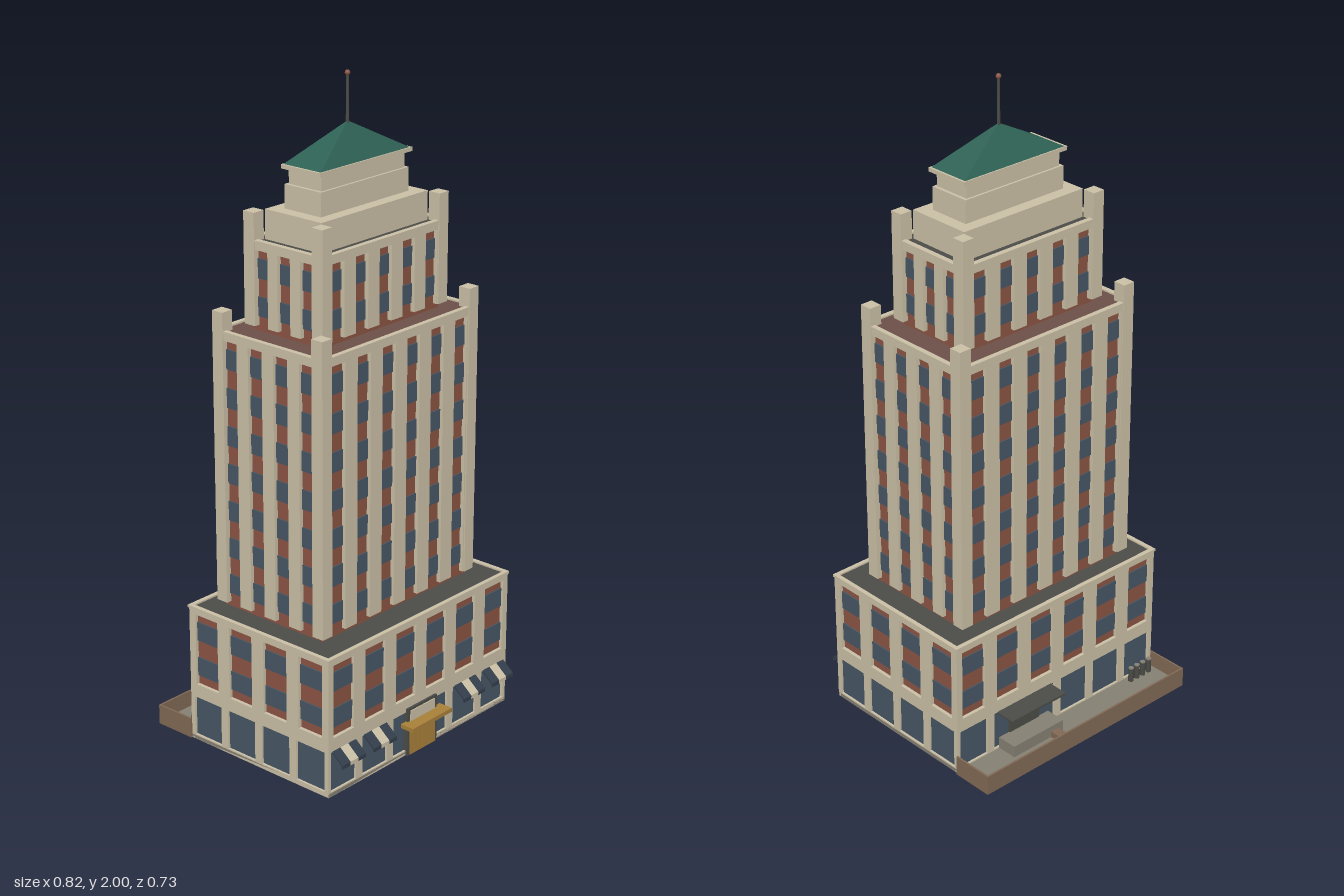
import * as THREE from 'three';

const mat = (name, color) => {
  const m = new THREE.MeshStandardMaterial({ color });
  m.name = name;
  return m;
};

export function createModel() {
  const stone = mat('cream stone', 0xcabfa6);
  const brick = mat('red brick', 0x8a5443);
  const brickRoof = mat('brick terrace', 0x6b5048);
  const glass = mat('blue glass', 0x465664);
  const dark = mat('dark roofing', 0x4b4b47);
  const green = mat('green copper', 0x2e6154);
  const gold = mat('gold', 0xa88039);
  const concrete = mat('concrete', 0x857f73);
  const brown = mat('brown wall', 0x806854);
  const navy = mat('navy cloth', 0x333d4b);

  const model = new THREE.Group();
  model.name = 'tower';

  const add = (parent, name, geo, m, x = 0, y = 0, z = 0) => {
    const mesh = new THREE.Mesh(geo, m);
    mesh.name = name;
    mesh.position.set(x, y, z);
    parent.add(mesh);
    return mesh;
  };
  // box placed by its centre in x and z, and by its bottom and top in y
  const box = (parent, name, m, w, d, y0, y1, x = 0, z = 0) =>
    add(parent, name, new THREE.BoxGeometry(w, y1 - y0, d), m, x, (y0 + y1) / 2, z);
  const group = (parent, name, x = 0, y = 0, z = 0) => {
    const g = new THREE.Group();
    g.name = name;
    g.position.set(x, y, z);
    parent.add(g);
    return g;
  };

  // upright stone strips filling the space between the bays of one wall
  const pilasters = (wall, half, face, depth, bays, pitch, width, y0, y1) => {
    for (let i = 0; i <= bays; i++) {
      const a = i === 0 ? -half : (i - 1 - (bays - 1) / 2) * pitch + width / 2;
      const b = i === bays ? half : (i - (bays - 1) / 2) * pitch - width / 2;
      box(wall, 'pilaster', stone, b - a, depth, y0, y1, (a + b) / 2, face - depth / 2);
    }
  };

  // calls build(wall, halfWidth, faceDistance, isLongSide) for the four sides
  const fourWalls = (parent, hx, hz, build) => {
    for (let k = 0; k < 4; k++) {
      const wall = group(parent, 'wall');
      wall.rotation.y = k * Math.PI / 2;
      if (k % 2) build(wall, hz, hx, false);
      else build(wall, hx, hz, true);
    }
  };

  // brick storeys with a window grid, stone pilasters and a parapet
  const tier = (name, o) => {
    const g = group(model, name, 0, 0, o.z);
    const t = o.relief;
    box(g, 'brickCore', brick, 2 * (o.hx - t), 2 * (o.hz - t), o.y0, o.y1 - 0.012);
    box(g, 'roofDeck', o.roof, 2 * (o.hx - t), 2 * (o.hz - t), o.y1 - 0.012, o.y1 - 0.005);
    fourWalls(g, o.hx, o.hz, (wall, half, face, long) => {
      const [bays, pitch, width] = long ? o.long : o.short;
      pilasters(wall, half, face, t, bays, pitch, width, o.brick0, o.brick1);
      box(wall, 'parapet', stone, 2 * half, t, o.brick1, o.y1, 0, face - t / 2);
      box(wall, 'coping', stone, 2 * half + 0.006, t + 0.003, o.y1 - 0.008, o.y1, 0, face + 0.003 - (t + 0.003) / 2);
      const storey = (o.brick1 - o.brick0) / o.floors;
      for (let i = 0; i < bays; i++) {
        for (let f = 0; f < o.floors; f++) {
          const y = o.brick0 + (f + 0.5) * storey;
          box(wall, 'window', glass, width, 0.004, y - storey * 0.26, y + storey * 0.26,
            (i - (bays - 1) / 2) * pitch, face - t + 0.002);
        }
      }
    });
    // raised corner piers
    if (o.pier) {
      for (const sx of [-1, 1]) for (const sz of [-1, 1]) {
        box(g, 'cornerPier', stone, 0.04, 0.04, o.brick0, o.pier,
          sx * (o.hx - 0.016), sz * (o.hz - 0.016));
      }
    }
    return g;
  };

  const base = tier('base', {
    z: 0.043, hx: 0.405, hz: 0.275, relief: 0.011, y0: 0.012, y1: 0.437, brick0: 0.185, brick1: 0.413,
    floors: 2, long: [6, 0.136, 0.088], short: [4, 0.137, 0.09], roof: dark,
  });
  tier('mainShaft', {
    z: 0.027, hx: 0.333, hz: 0.205, relief: 0.013, y0: 0.43, y1: 1.285, brick0: 0.447, brick1: 1.257,
    floors: 7, long: [6, 0.106, 0.055], short: [4, 0.097, 0.053], roof: brickRoof, pier: 1.34,
  });
  tier('upperShaft', {
    z: 0.027, hx: 0.264, hz: 0.144, relief: 0.014, y0: 1.275, y1: 1.548, brick0: 1.297, brick1: 1.52,
    floors: 2, long: [5, 0.1, 0.052], short: [3, 0.085, 0.047], roof: dark, pier: 1.627,
  });

  // ground floor with shop windows
  box(base, 'plinth', concrete, 0.81, 0.55, 0, 0.012);
  fourWalls(base, 0.405, 0.275, (wall, half, face, long) => {
    pilasters(wall, half, face, 0.011, long ? 6 : 4, 0.1365, 0.109, 0.012, 0.142);
    box(wall, 'shopGlass', glass, 2 * half - 0.03, 0.004, 0.012, 0.142, 0, face - 0.009);
    box(wall, 'storeyBand', stone, 2 * half, 0.011, 0.142, 0.185, 0, face - 0.0055);
    box(wall, 'footing', stone, 2 * half, 0.011, 0, 0.016, 0, face - 0.0055);
  });

  // crown: stepped blocks, eave, hipped roof and mast
  const crown = group(model, 'crown', 0, 0, 0.027);
  box(crown, 'lowerBlock', stone, 0.45, 0.212, 1.535, 1.63);
  box(crown, 'middleBlock', stone, 0.37, 0.136, 1.63, 1.7);
  box(crown, 'upperBlock', stone, 0.35, 0.122, 1.7, 1.747);
  box(crown, 'eave', stone, 0.388, 0.146, 1.745, 1.757);
  let pyramid = new THREE.ConeGeometry(Math.SQRT2, 1, 4).rotateY(Math.PI / 4).scale(0.187, 0.1, 0.069);
  pyramid = pyramid.toNonIndexed();
  pyramid.computeVertexNormals();
  add(crown, 'hippedRoof', pyramid, green, 0, 1.807, 0);
  add(crown, 'mast', new THREE.CylinderGeometry(0.004, 0.005, 0.145, 8), dark, 0, 1.92, 0);
  add(crown, 'mastTip', new THREE.SphereGeometry(0.008, 10, 8), brick, 0, 1.992, 0);

  // entrance
  const entrance = group(model, 'entrance', 0, 0, 0.318);
  box(entrance, 'doorFrame', dark, 0.134, 0.014, 0, 0.154);
  box(entrance, 'transom', stone, 0.11, 0.004, 0.113, 0.146, 0, 0.008);
  for (const s of [-1, 1]) box(entrance, 'doorLeaf', gold, 0.056, 0.004, 0.003, 0.104, s * 0.029, 0.008);
  box(entrance, 'canopy', gold, 0.178, 0.047, 0.1, 0.113, 0, 0.0235);

  // striped shop awnings
  const slope = new THREE.Shape([[0, 0.146], [0.039, 0.114], [0.039, 0.102], [0.035, 0.102], [0.035, 0.111], [0, 0.139]]
    .map(([x, y]) => new THREE.Vector2(x, y)));
  const stripe = new THREE.ExtrudeGeometry(slope, { depth: 0.0335, bevelEnabled: false })
    .rotateY(-Math.PI / 2).translate(0.01675, 0, 0);
  for (const x of [-0.34, -0.205, 0.205, 0.34]) {
    const awning = group(model, 'awning', x, 0, 0.32);
    for (const i of [-1, 0, 1]) add(awning, 'awningStripe', stripe, i ? navy : stone, i * 0.0335);
  }

  // walled service yard behind the building
  const yard = group(model, 'serviceYard');
  box(yard, 'yardFloor', concrete, 0.816, 0.132, 0, 0.012, 0, -0.298);
  box(yard, 'backWall', brown, 0.82, 0.006, 0, 0.063, 0, -0.364);
  for (const s of [-1, 1]) box(yard, 'sideWall', brown, 0.006, 0.135, 0, 0.063, s * 0.407, -0.2985);
  box(yard, 'loadingDock', concrete, 0.2, 0.066, 0.012, 0.05, 0.14, -0.265);
  box(yard, 'dockStep', brown, 0.03, 0.032, 0.012, 0.032, 0.075, -0.314);
  box(yard, 'dockDoor', dark, 0.12, 0.008, 0.05, 0.125, 0.14, -0.232);
  box(yard, 'dockCanopy', dark, 0.217, 0.066, 0.139, 0.146, 0.141, -0.267);
  for (let i = 0; i < 4; i++) {
    const bin = add(yard, 'bin', new THREE.CylinderGeometry(0.009, 0.009, 0.045, 6), dark, -0.375 + i * 0.0255, 0.0345, -0.252);
    add(bin, 'binLid', new THREE.CylinderGeometry(0.009, 0.009, 0.003, 6), concrete, 0, 0.024, 0);
  }

  return model;
}
